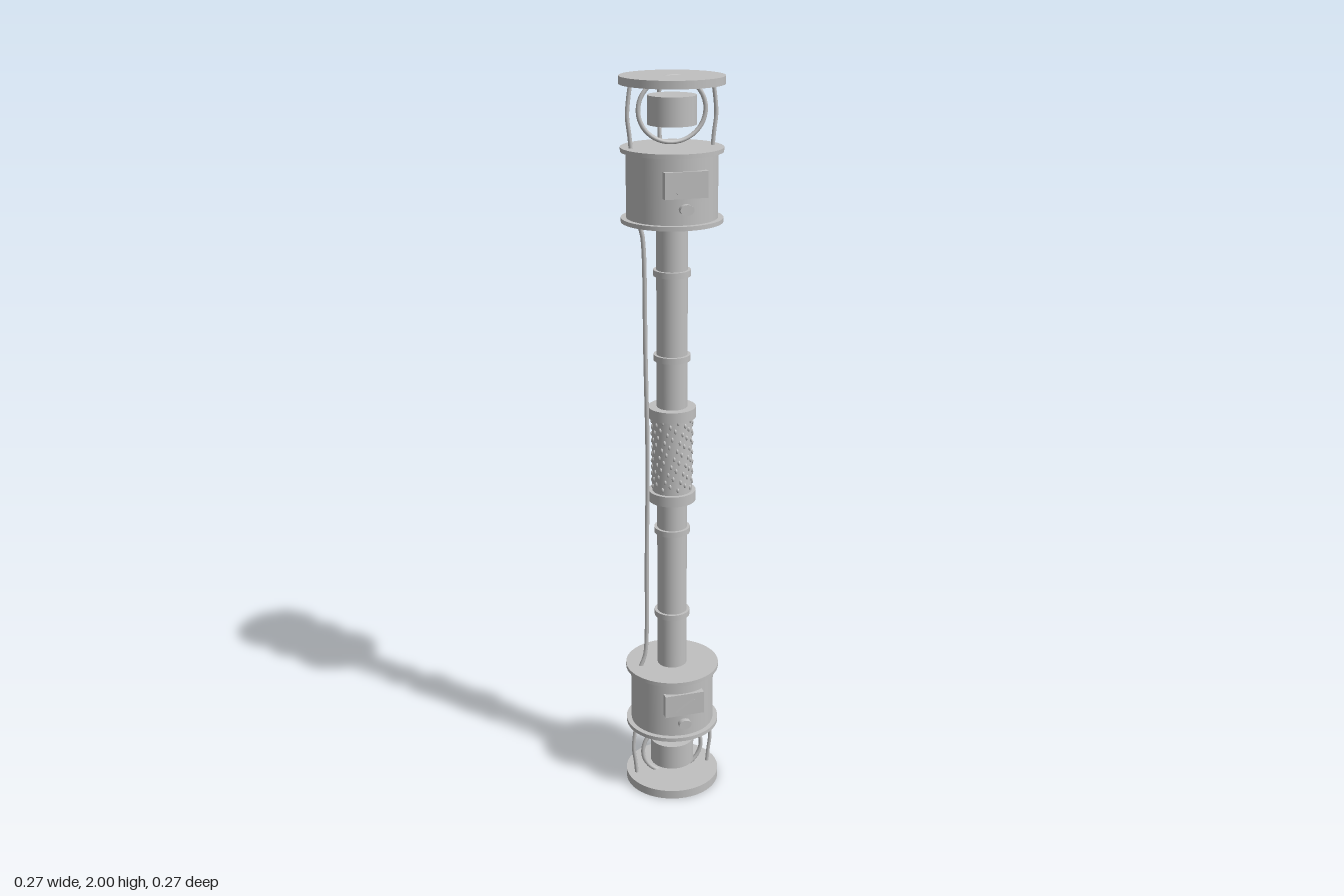
import * as THREE from 'three';

const metal = new THREE.MeshStandardMaterial({ color: 0xc0c0c0 });
metal.name = 'greyMetal';

function add(parent, name, geometry, x = 0, y = 0, z = 0) {
  const mesh = new THREE.Mesh(geometry, metal);
  mesh.name = name;
  mesh.position.set(x, y, z);
  parent.add(mesh);
  return mesh;
}

// Upright cylinder spanning y0 to y1
function drum(parent, name, r, y0, y1) {
  return add(parent, name, new THREE.CylinderGeometry(r, r, y1 - y0, 48), 0, (y0 + y1) / 2, 0);
}

function tube(parent, name, points, r, steps = 16) {
  const curve = new THREE.CatmullRomCurve3(points.map(p => new THREE.Vector3(...p)));
  return add(parent, name, new THREE.TubeGeometry(curve, steps, r, 8), 0, 0, 0);
}

// Flanged housing with a gauge and a knob on its front
function housing(name, y0, y1) {
  const g = new THREE.Group();
  g.name = name;
  drum(g, 'housingBody', 0.117, y0 + 0.01, y1 - 0.01);
  drum(g, 'lowerFlange', 0.131, y0, y0 + 0.011);
  drum(g, 'upperFlange', 0.131, y1 - 0.011, y1);
  const yGauge = y0 + 0.111;
  add(g, 'gaugePanel', new THREE.BoxGeometry(0.112, 0.066, 0.03), 0, yGauge, 0.108);
  const needle = add(g, 'gaugeNeedle', new THREE.BoxGeometry(0.062, 0.005, 0.007), 0, yGauge - 0.002, 0.126);
  needle.rotation.z = 0.6;
  const knob = add(g, 'knob', new THREE.CylinderGeometry(0.018, 0.018, 0.02, 24), 0, y0 + 0.051, 0.121);
  knob.rotation.x = Math.PI / 2;
  knob.scale.z = 0.75;
  return g;
}

// End cage: cap plate, bowed posts, floating core and an upright hoop
function cage(name, plate0, plate1, post0, post1, yMid) {
  const g = new THREE.Group();
  g.name = name;
  drum(g, 'capPlate', 0.133, plate0, plate1);
  drum(g, 'core', 0.062, yMid - 0.036, yMid + 0.036);
  const hoop = add(g, 'hoop', new THREE.TorusGeometry(0.088, 0.006, 10, 48), 0, yMid, 0);
  hoop.scale.y = 0.91;
  for (const [dx, dz] of [[1, 0], [-1, 0], [0, -1]]) {
    const at = (r, t) => [dx * r, post0 + (post1 - post0) * t, dz * r];
    tube(g, 'bowedPost', [at(0.107, 0), at(0.111, 0.25), at(0.116, 0.5), at(0.113, 0.75), at(0.107, 1)], 0.0055);
  }
  return g;
}

export function createModel() {
  const model = new THREE.Group();
  model.name = 'staff';

  // Shaft, bands and grip collars
  drum(model, 'shaft', 0.041, 0.37, 1.645);
  for (const y of [0.532, 0.785, 1.278, 1.505]) drum(model, 'shaftBand', 0.049, y - 0.008, y + 0.008);
  drum(model, 'grip', 0.054, 0.89, 1.125);
  drum(model, 'lowerCollar', 0.064, 0.873, 0.902);
  drum(model, 'upperCollar', 0.064, 1.112, 1.141);

  // Staggered grip studs
  const studs = new THREE.Group();
  studs.name = 'gripStuds';
  const studGeometry = new THREE.SphereGeometry(0.004, 8, 6);
  for (let row = 0; row < 9; row++) {
    for (let i = 0; i < 16; i++) {
      const a = (i + row * 0.38) / 16 * Math.PI * 2;
      const stud = add(studs, 'stud', studGeometry, Math.sin(a) * 0.054, 0.917 + row * 0.0225 + (i % 2) * 0.011, Math.cos(a) * 0.054);
      stud.scale.y = 1.7;
    }
  }
  model.add(studs);

  // Housings and end cages
  model.add(housing('lowerHousing', 0.186, 0.373), housing('upperHousing', 1.638, 1.826));
  model.add(cage('lowerCage', 0, 0.025, 0.02, 0.19, 0.09), cage('upperCage', 1.98, 2, 1.82, 1.985, 1.917));

  // Cable running between the housings on the right
  tube(model, 'cable', [
    [-0.092, 1.642, 0], [-0.081, 1.615, 0], [-0.076, 1.57, 0], [-0.073, 1.3, 0], [-0.069, 1.0, 0],
    [-0.073, 0.7, 0], [-0.076, 0.44, 0], [-0.081, 0.4, 0], [-0.094, 0.368, 0],
  ], 0.006, 64);
  return model;
}
